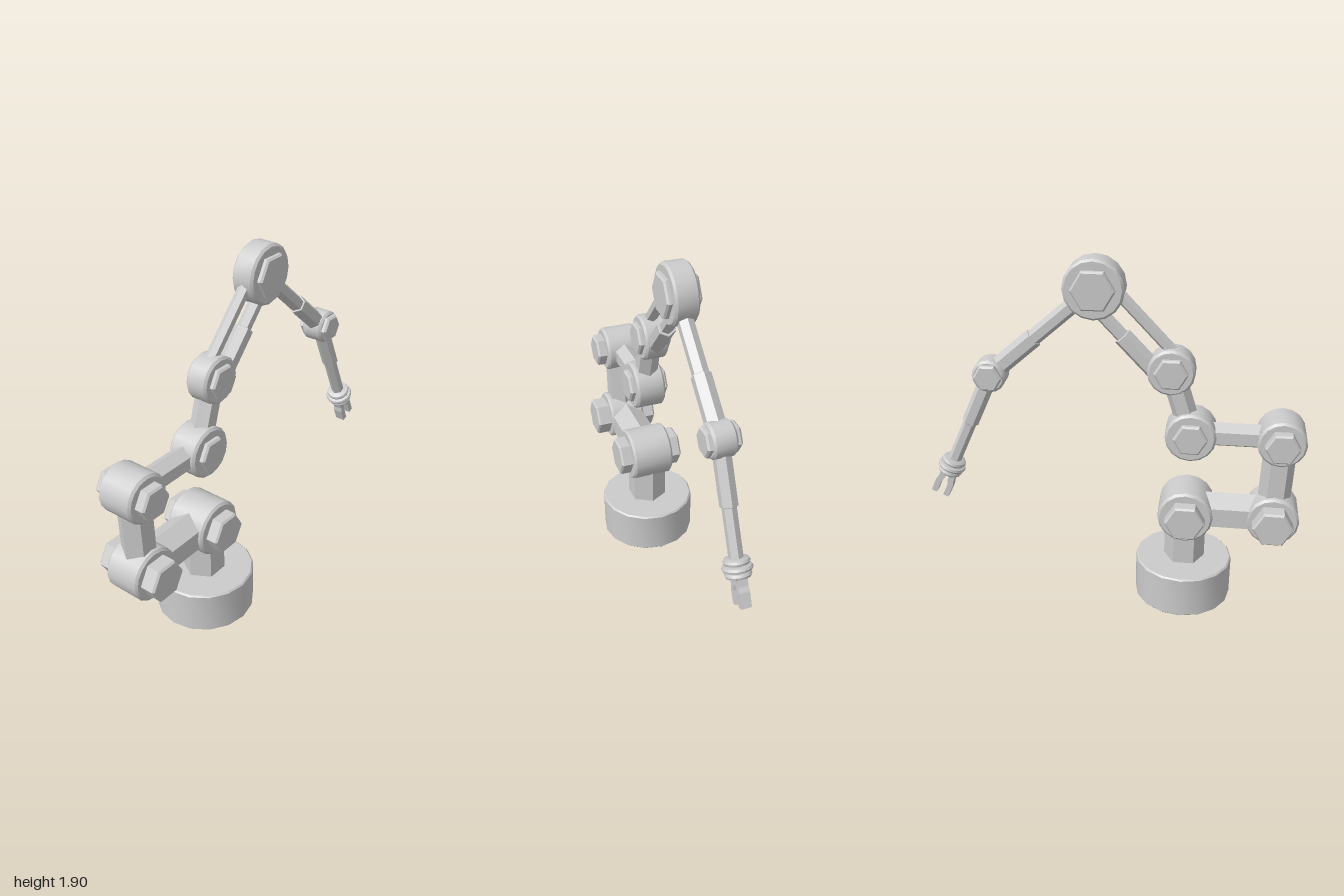
import * as THREE from 'three';
import { toCreasedNormals } from 'three/addons/utils/BufferGeometryUtils.js';

const material = new THREE.MeshStandardMaterial({ color: 0xcccccc });

// Turned solid around y from [radius, height] pairs, a corner at +x
function turned(profile, sides) {
  const points = profile.map(([r, y]) => new THREE.Vector2(r, y));
  const geo = new THREE.LatheGeometry(points, sides, Math.PI / 2);
  return toCreasedNormals(geo, 0.6);
}

// Solid cylinder or prism with bevelled rims
function drum(radius, bottom, top, sides, bevel) {
  return turned([
    [0, bottom], [radius - bevel, bottom], [radius, bottom + bevel],
    [radius, top - bevel], [radius - bevel, top], [0, top],
  ], sides);
}

function add(parent, name, geometry) {
  const mesh = new THREE.Mesh(geometry, material);
  mesh.name = name;
  parent.add(mesh);
  return mesh;
}

// Joint positions, drum radius and half depth, bolt radius and half depth
const joints = {
  base: { x: -0.4, y: 0.53, r: 0.147, d: 0.115, boltR: 0.107, boltD: 0.18 },
  lowerCorner: { x: -0.86, y: 0.53, r: 0.139, d: 0.1, boltR: 0.107, boltD: 0.18 },
  upperCorner: { x: -0.875, y: 0.984, r: 0.126, d: 0.1, boltR: 0.09, boltD: 0.153 },
  shoulder: { x: -0.41, y: 0.984, r: 0.133, d: 0.08, boltR: 0.09, boltD: 0.108 },
  upperArm: { x: -0.3, y: 1.33, r: 0.122, d: 0.062, boltR: 0.088, boltD: 0.088 },
  elbow: { x: 0.09, y: 1.743, r: 0.155, d: 0.062, boltR: 0.113, boltD: 0.088 },
  forearm: { x: 0.636, y: 1.262, r: 0.088, d: 0.06, boltR: 0.076, boltD: 0.086 },
};
const wrist = { x: 0.886, y: 0.706 };

// Hexagonal rod between two points, from fraction t0 to t1, shifted sideways
function rod(parent, name, a, b, radius, t0 = 0, t1 = 1, shift = 0) {
  const dx = b.x - a.x, dy = b.y - a.y, length = Math.hypot(dx, dy);
  const geo = drum(radius, t0 * length, t1 * length, 6, 0.003);
  geo.translate(shift, 0, 0);
  const mesh = add(parent, name, geo);
  mesh.position.set(a.x, a.y, 0);
  mesh.rotation.z = Math.atan2(-dx, dy);
  return mesh;
}

export function createModel() {
  const model = new THREE.Group();

  // Round foot and its hexagonal column
  const foot = add(model, 'foot', drum(0.262, 0, 0.235, 16, 0.008));
  foot.position.x = -0.397;
  rod(model, 'column', { x: -0.4, y: 0.2 }, joints.base, 0.11);

  // Pivot joints: a drum with a hexagonal bolt through it
  for (const [name, j] of Object.entries(joints)) {
    const group = new THREE.Group();
    group.name = name + 'Joint';
    group.position.set(j.x, j.y, 0);
    group.rotation.x = Math.PI / 2;
    add(group, 'jointDrum', drum(j.r, -j.d, j.d, 16, 0.012));
    add(group, 'jointBolt', drum(j.boltR, -j.boltD, j.boltD, 6, 0.01));
    model.add(group);
  }

  // Single links of the folded lower half
  rod(model, 'lowerLink', joints.base, joints.lowerCorner, 0.107);
  rod(model, 'uprightLink', joints.lowerCorner, joints.upperCorner, 0.086);
  rod(model, 'upperLink', joints.upperCorner, joints.shoulder, 0.066);
  rod(model, 'shoulderLink', joints.shoulder, joints.upperArm, 0.063);

  // Upper arm: a thin rod beside a piston with its sleeve
  rod(model, 'upperArmRod', joints.upperArm, joints.elbow, 0.032, 0, 1, -0.068);
  rod(model, 'upperArmPiston', joints.upperArm, joints.elbow, 0.036, 0, 1, 0.068);
  rod(model, 'upperArmSleeve', joints.upperArm, joints.elbow, 0.05, 0, 0.52, 0.068);

  // Forearm and wrist pistons
  rod(model, 'forearmPiston', joints.elbow, joints.forearm, 0.042);
  rod(model, 'forearmSleeve', joints.elbow, joints.forearm, 0.051, 0.57, 1);
  rod(model, 'wristPiston', joints.forearm, wrist, 0.036);
  rod(model, 'wristSleeve', joints.forearm, wrist, 0.045, 0, 0.52);

  // Gripper, built with y pointing along the arm
  const gripper = new THREE.Group();
  gripper.name = 'gripper';
  gripper.position.set(wrist.x, wrist.y, 0);
  gripper.rotation.z = Math.atan2(
    -(wrist.x - joints.forearm.x), wrist.y - joints.forearm.y);
  model.add(gripper);

  // Collar of three rounded rings
  const collar = [[0, -0.048]];
  for (const [y, r] of [[-0.032, 0.066], [0, 0.076], [0.032, 0.066]]) {
    for (let i = 0; i <= 4; i++) {
      const a = (i / 4 - 0.5) * Math.PI;
      collar.push([r - 0.016 + 0.016 * Math.cos(a), y + 0.016 * Math.sin(a)]);
    }
  }
  collar.push([0, 0.048]);
  add(gripper, 'wristCollar', turned(collar, 16));

  // Two slightly bent fingers
  for (const side of [-1, 1]) {
    const shape = new THREE.Shape([
      [0.01, 0.03], [0.042, 0.03], [0.042, 0.085], [0.05, 0.11],
      [0.05, 0.187], [0.019, 0.187], [0.019, 0.115], [0.01, 0.085],
    ].map(([x, y]) => new THREE.Vector2(side * x, y)));
    const geo = new THREE.ExtrudeGeometry(shape, { depth: 0.054, bevelEnabled: false });
    geo.translate(0, 0, -0.027);
    add(gripper, side < 0 ? 'innerFinger' : 'outerFinger', geo);
  }
  return model;
}
